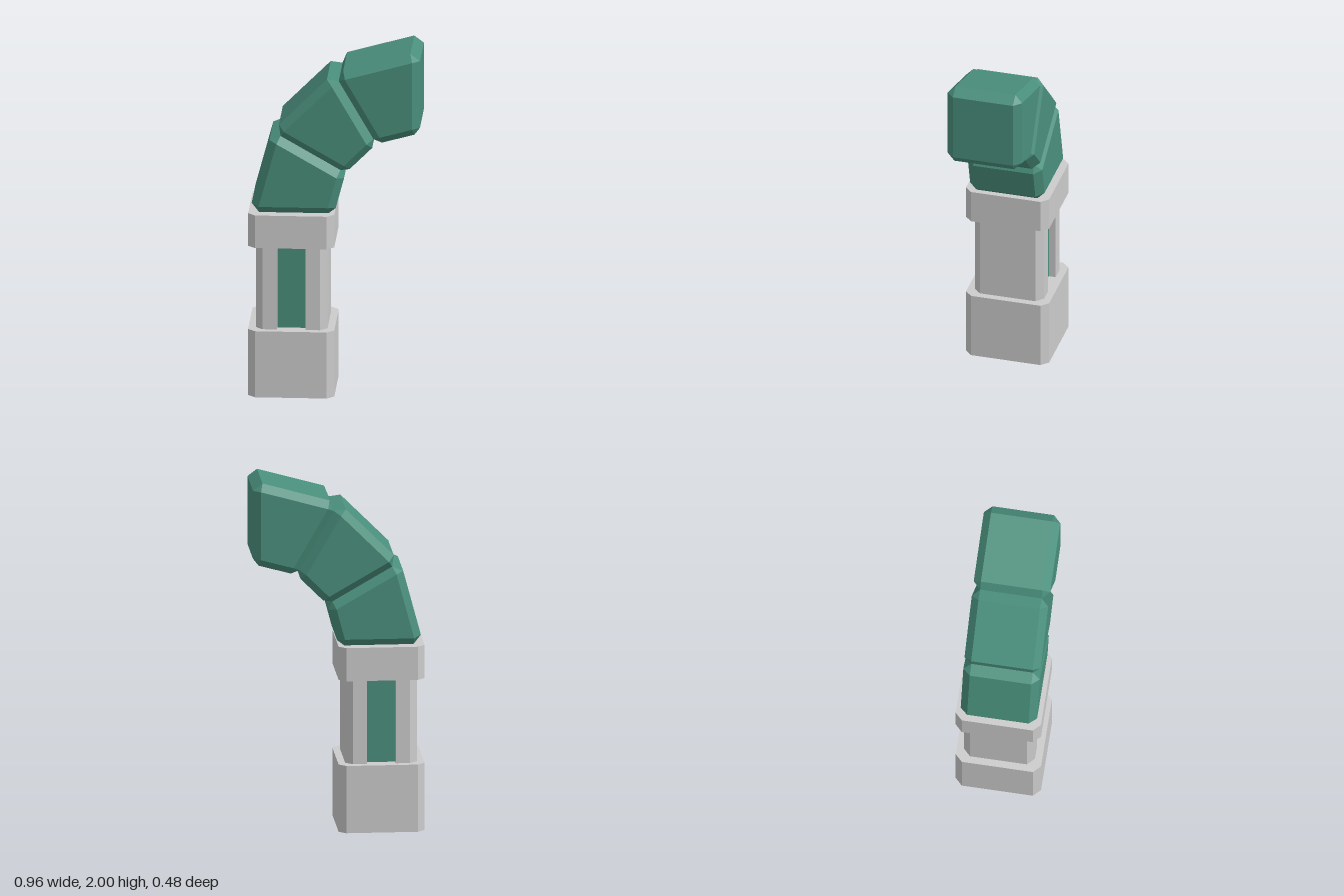
import * as THREE from 'three';
import { ConvexGeometry } from 'three/addons/geometries/ConvexGeometry.js';

const CX = -0.24; // column axis
const grey = new THREE.MeshStandardMaterial({ color: 0xcccccc, flatShading: true });
const green = new THREE.MeshStandardMaterial({ color: 0x4a8f7c, flatShading: true });

function part(name, geometry, material) {
  const mesh = new THREE.Mesh(geometry, material);
  mesh.name = name;
  return mesh;
}

// Upright prism from a plan outline, between heights y0 and y1
function prism(points, y0, y1) {
  const shape = new THREE.Shape(points.map(([x, y]) => new THREE.Vector2(x, y)));
  return new THREE.ExtrudeGeometry(shape, { depth: y1 - y0, bevelEnabled: false })
    .rotateX(-Math.PI / 2)
    .translate(CX, y0, 0);
}

// Square plan with cut corners; an optional groove runs down the front and back
function plan(h, cut, grooveHalf = 0, grooveDepth = 0) {
  const half = [[h, -h + cut], [h, h - cut], [h - cut, h]];
  if (grooveHalf) {
    half.push([grooveHalf, h], [grooveHalf, h - grooveDepth],
      [-grooveHalf, h - grooveDepth], [-grooveHalf, h]);
  }
  half.push([-h + cut, h]);
  const other = half.map(([x, y]) => [-x, -y]);
  // the half turn repeats no points: right + back, then left + front
  return [...half, ...other];
}

// Four-sided wedge with every edge chamfered by d
function chamferedWedge(corners, halfDepth, d) {
  const points = [];
  corners.forEach((q, i) => {
    const dirs = [corners[(i + 1) % 4], corners[(i + 3) % 4]]
      .map((c) => c.clone().sub(q).normalize());
    const cos = dirs[0].dot(dirs[1]);
    const sin = Math.sqrt(1 - cos * cos);
    const inset = dirs[0].clone().add(dirs[1]).multiplyScalar(d / sin).add(q);
    for (const s of [-1, 1]) {
      points.push(new THREE.Vector3(inset.x, inset.y, s * halfDepth));
      for (const dir of dirs) {
        const p = dir.clone().multiplyScalar(d * (1 + cos) / sin).add(q);
        points.push(new THREE.Vector3(p.x, p.y, s * (halfDepth - d)));
      }
    }
  });
  return new ConvexGeometry(points);
}

export function createModel() {
  const model = new THREE.Group();
  model.name = 'bentPipe';

  // Column: base block, grooved shaft, collar
  model.add(part('base', prism(plan(0.24, 0.04), 0, 0.385), grey));
  model.add(part('shaft', prism(plan(0.2, 0.04, 0.08, 0.08), 0.385, 0.87), grey));
  model.add(part('collar', prism(plan(0.24, 0.04), 0.87, 1.06), grey));

  // Coloured strips lying in the shaft grooves
  const core = new THREE.BoxGeometry(0.16, 0.485, 0.32).translate(CX, 0.6275, 0);
  model.add(part('core', core, green));

  // Elbow: wedges between four joint planes, each turned 30 degrees further
  const joints = [
    [[-0.476, 1.06], [-0.002, 1.06]],
    [[-0.349, 1.533], [0.061, 1.297]],
    [[-0.004, 1.878], [0.233, 1.469]],
    [[0.476, 2.012], [0.476, 1.536]],
  ].map((joint) => joint.map(([x, y]) => new THREE.Vector2(x, y)));

  const elbow = new THREE.Group();
  elbow.name = 'elbow';
  for (let i = 0; i < 3; i++) {
    const [outer0, inner0] = joints[i];
    const [outer1, inner1] = joints[i + 1];
    const wedge = chamferedWedge([outer0, inner0, inner1, outer1], 0.215, 0.042);
    elbow.add(part(`elbowSegment${i + 1}`, wedge, green));
  }
  model.add(elbow);
  return model;
}
